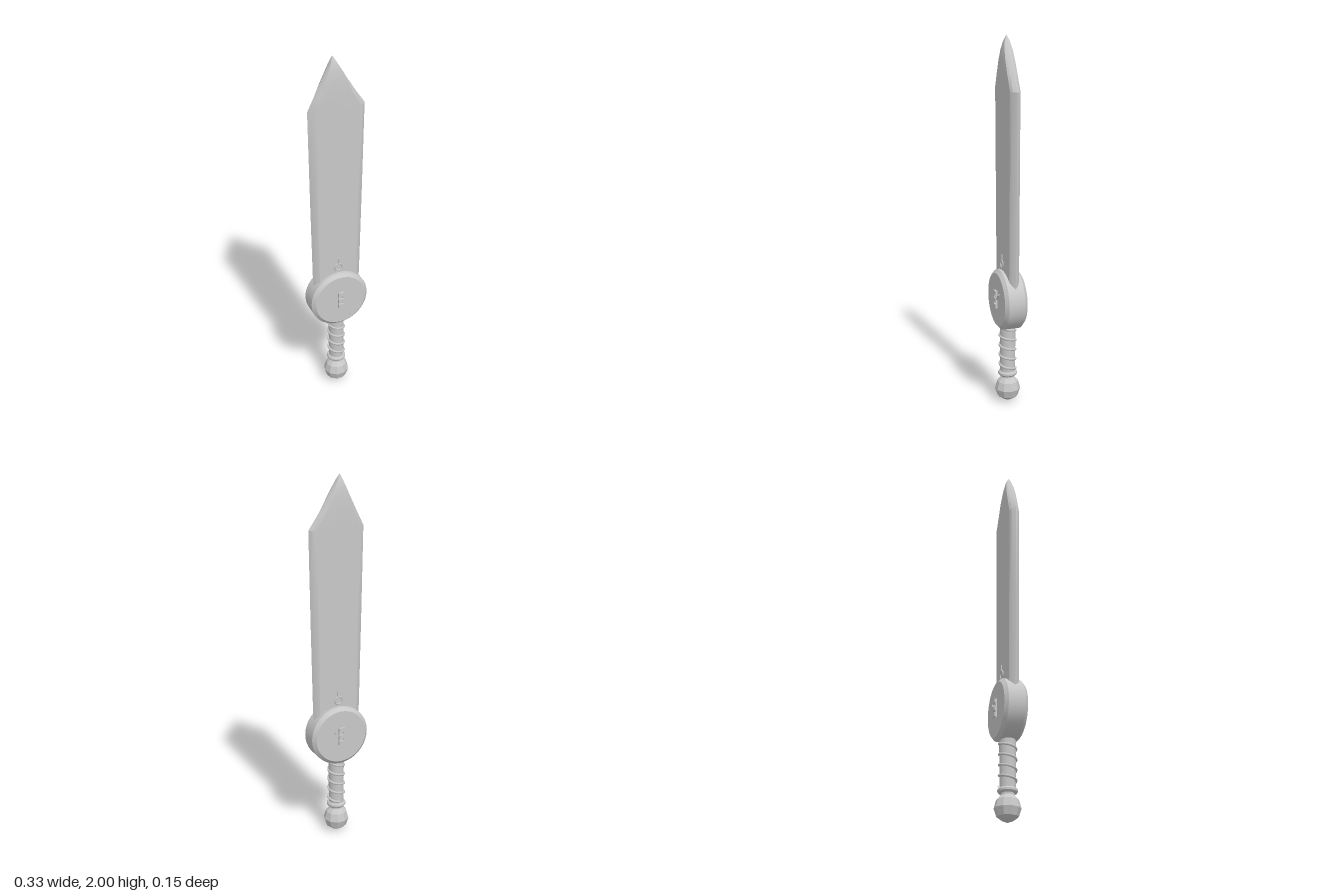
import * as THREE from 'three';
import { toCreasedNormals } from 'three/addons/utils/BufferGeometryUtils.js';

const steel = new THREE.MeshStandardMaterial({ color: 0xc8c8c8 });
steel.name = 'steel grey';

function add(parent, name, geometry, x = 0, y = 0, z = 0) {
  const mesh = new THREE.Mesh(geometry, steel);
  mesh.name = name;
  mesh.position.set(x, y, z);
  parent.add(mesh);
  return mesh;
}

function lathe(points, sides, start = 0) {
  return new THREE.LatheGeometry(points.map(p => new THREE.Vector2(...p)), sides, start);
}

// Lens-shaped cross-sections lofted from the guard to the off-centre tip
function bladeGeometry() {
  const half = [[1, 0], [0.9, 0.6], [0.78, 0.92], [0.4, 1], [0, 1.04], [-0.4, 1], [-0.78, 0.92], [-0.9, 0.6]];
  const loop = [...half, ...half.map(([x, z]) => [-x, -z])];
  // y, left edge, right edge, half thickness
  const sections = [
    [0.6, -0.134, 0.134, 0.03], [0.75, -0.138, 0.138, 0.03], [1.2, -0.147, 0.147, 0.03],
    [1.725, -0.156, 0.156, 0.03], [1.8, -0.119, 0.104, 0.03], [1.87, -0.085, 0.06, 0.029],
    [1.93, -0.055, 0.024, 0.024], [1.97, -0.035, 0.0, 0.015], [2, -0.021, -0.019, 0.001],
  ];
  const pos = [], index = [], n = loop.length;
  for (const [y, l, r, t] of sections) {
    for (const [u, v] of loop) pos.push((l + r) / 2 + u * (r - l) / 2, y, v * t);
  }
  for (let s = 0; s < sections.length - 1; s++) {
    for (let i = 0; i < n; i++) {
      const a = s * n + i, b = s * n + (i + 1) % n;
      // the loop runs clockwise seen from above
      index.push(a, a + n, b, b, a + n, b + n);
    }
  }
  const last = (sections.length - 1) * n;
  for (let i = 1; i < n - 1; i++) {
    index.push(0, i, i + 1);
    index.push(last, last + i + 1, last + i);
  }
  const g = new THREE.BufferGeometry();
  g.setAttribute('position', new THREE.Float32BufferAttribute(pos, 3));
  g.setIndex(index);
  // make sure the skin faces outwards
  const p = g.attributes.position, v = [0, 1, 2].map(() => new THREE.Vector3());
  let volume = 0;
  for (let i = 0; i < index.length; i += 3) {
    v.forEach((q, k) => q.fromBufferAttribute(p, index[i + k]));
    volume += v[0].dot(v[1].clone().cross(v[2]));
  }
  if (volume < 0) g.setIndex(index.reverse());
  return toCreasedNormals(g, 0.45);
}

// Spiral cord around the grip
class Helix extends THREE.Curve {
  getPoint(t, target = new THREE.Vector3()) {
    const a = t * 4.5 * Math.PI * 2;
    return target.set(0.043 * Math.sin(a), 0.435 - 0.25 * t, 0.043 * Math.cos(a));
  }
}

export function createModel() {
  const sword = new THREE.Group();
  sword.name = 'sword';

  add(sword, 'blade', bladeGeometry());

  // Round guard with chamfered rims
  const disc = lathe([[0, -0.063], [0.146, -0.063], [0.165, -0.045], [0.165, 0.045], [0.146, 0.063], [0, 0.063]], 40);
  disc.rotateX(Math.PI / 2);
  add(sword, 'guard', toCreasedNormals(disc, 0.5), 0, 0.59, 0);

  // Grip, cord and collar
  add(sword, 'grip', new THREE.CylinderGeometry(0.043, 0.041, 0.3, 20), 0, 0.31, 0);
  add(sword, 'gripCord', new THREE.TubeGeometry(new Helix(), 160, 0.007, 6));
  add(sword, 'gripCollar', toCreasedNormals(lathe(
    [[0, 0.15], [0.046, 0.15], [0.052, 0.158], [0.052, 0.168], [0.046, 0.176], [0, 0.176]], 20), 0.5));
  add(sword, 'pommelNeck', new THREE.CylinderGeometry(0.036, 0.036, 0.03, 16), 0, 0.145, 0);

  // Faceted pommel
  const pommel = lathe(
    [[0, 0], [0.03, 0.012], [0.056, 0.03], [0.07, 0.072], [0.058, 0.115], [0.034, 0.142], [0, 0.142]],
    10, Math.PI / 10);
  add(sword, 'pommel', toCreasedNormals(pommel, 0.3));

  // Small raised ornaments on both faces
  for (const side of [1, -1]) {
    const ornament = new THREE.Group();
    ornament.name = side > 0 ? 'frontOrnament' : 'backOrnament';
    for (const y of [0.558, 0.592, 0.632]) {
      add(ornament, 'ornamentBlock', new THREE.BoxGeometry(0.034, 0.022, 0.009), 0, y, side * 0.071);
    }
    for (const x of [-0.013, 0.013]) {
      add(ornament, 'ornamentRail', new THREE.BoxGeometry(0.006, 0.1, 0.008), x, 0.594, side * 0.067);
    }
    add(ornament, 'ornamentBranch', new THREE.BoxGeometry(0.046, 0.006, 0.008), 0.033, 0.614, side * 0.067)
      .rotation.z = 0.85;
    // Ring and pin at the foot of the blade
    add(ornament, 'bladeRing', new THREE.TorusGeometry(0.021, 0.005, 6, 20), 0, 0.788, side * 0.032);
    add(ornament, 'bladePin', new THREE.BoxGeometry(0.008, 0.036, 0.008), 0.002, 0.824, side * 0.033);
    sword.add(ornament);
  }
  return sword;
}
